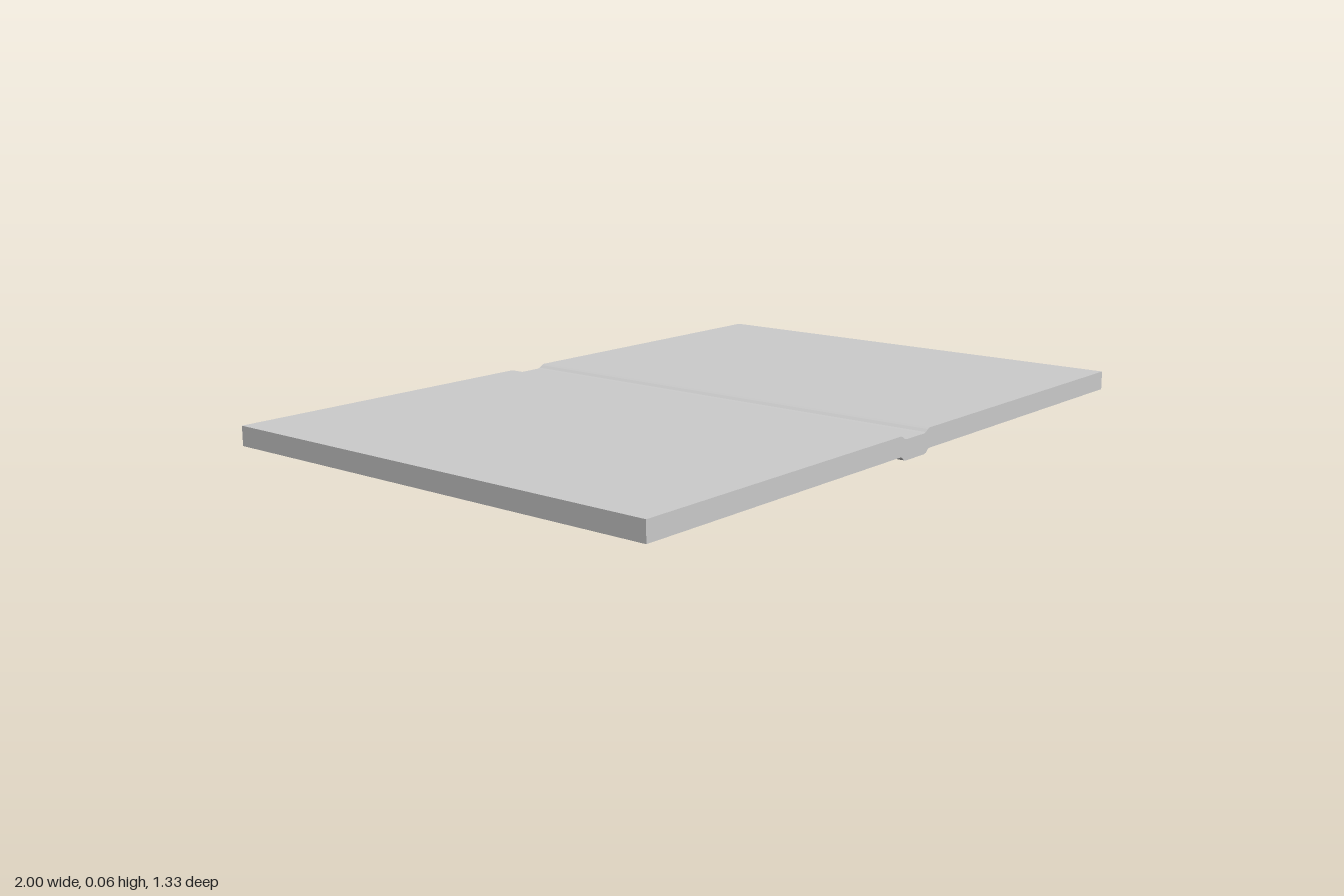
import * as THREE from 'three';

const DEPTH = 1.333;

// Right half of the cross-section, outer edge towards the middle
const top = [[1, 0.064], [0.064, 0.064], [0.057, 0.061], [0.048, 0.055], [0.038, 0.053]];
const bottom = [[1, 0.012], [0.064, 0.012], [0.057, 0.009], [0.05, 0.002], [0.042, 0]];

export function createModel() {
  const group = new THREE.Group();
  const material = new THREE.MeshStandardMaterial({ color: 0xcccccc });

  // Mirror the half profile: two flat panels joined by a sunken spine
  const mirror = (pts) => pts.map(([x, y]) => [-x, y]);
  const outline = [
    ...mirror(bottom), ...[...bottom].reverse(),
    ...top, ...mirror(top).reverse(),
  ].map(([x, y]) => new THREE.Vector2(x, y));

  const geometry = new THREE.ExtrudeGeometry(new THREE.Shape(outline), {
    depth: DEPTH, bevelEnabled: false,
  });
  geometry.translate(0, 0, -DEPTH / 2);

  const cover = new THREE.Mesh(geometry, material);
  cover.name = 'foldedCover';
  group.add(cover);
  return group;
}
